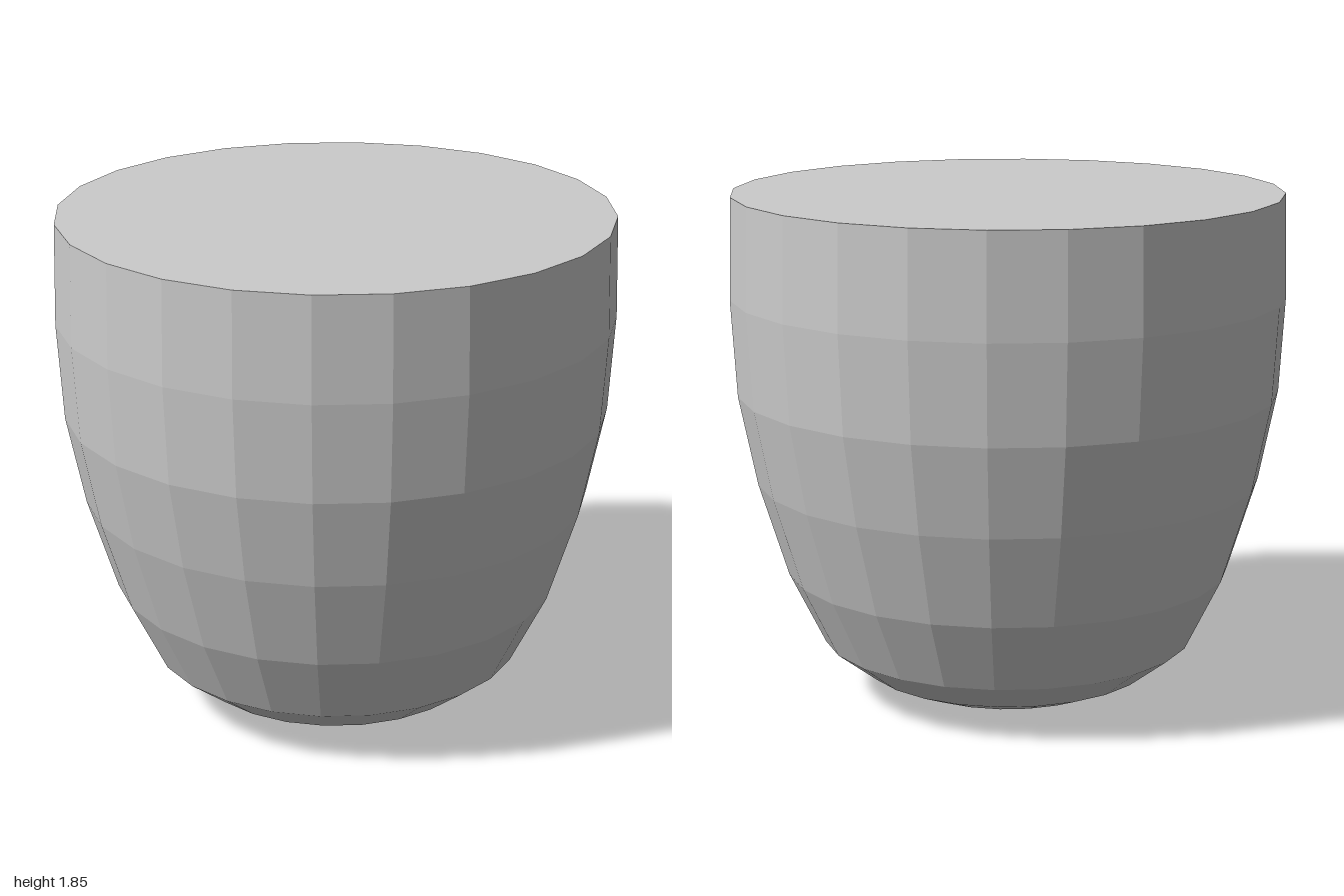
import * as THREE from 'three';

export function createModel() {
  const group = new THREE.Group();
  group.name = 'cup';

  // Half profile from the base centre, up the wall, to the centre of the closed top
  const profile = [
    [0, 0], [0.19, 0.003], [0.29, 0.014], [0.4, 0.036], [0.53, 0.09], [0.68, 0.205],
    [0.81, 0.47], [0.915, 0.81], [0.98, 1.135], [1, 1.485], [0.99, 1.85], [0, 1.85],
  ].map(([r, y]) => new THREE.Vector2(r, y));

  const material = new THREE.MeshStandardMaterial({ color: 0xcccccc, flatShading: true });
  const body = new THREE.Mesh(new THREE.LatheGeometry(profile, 24), material);
  body.name = 'roundedCupBody';
  group.add(body);
  return group;
}
